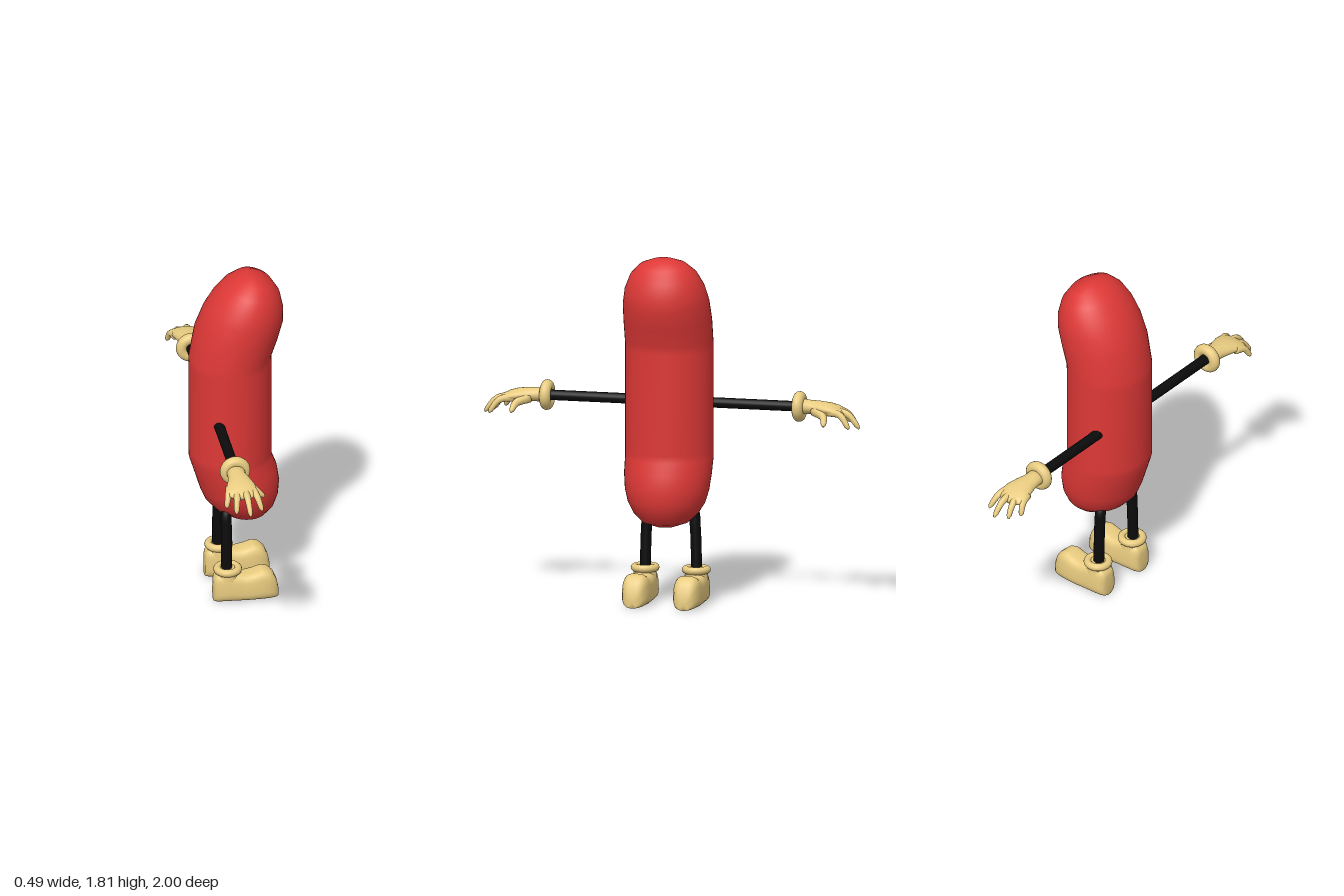
import * as THREE from 'three';

const V = (x, y, z) => new THREE.Vector3(x, y, z);
const mat = (color) => new THREE.MeshStandardMaterial({ color });
const red = mat(0xdd3836), tan = mat(0xe8cb80), black = mat(0x0b0b0b);

// Closed smooth skin over a list of rings; the end rings are closed to a point.
function loft(rings) {
  const n = rings[0].length, pos = [], index = [];
  rings.forEach((r) => r.forEach((p) => pos.push(p.x, p.y, p.z)));
  for (let i = 0; i < rings.length - 1; i++) {
    for (let j = 0; j < n; j++) {
      const a = i * n + j, b = i * n + (j + 1) % n;
      index.push(a, b, a + n, b, b + n, a + n);
    }
  }
  [0, rings.length - 1].forEach((k) => {
    const c = V(0, 0, 0);
    rings[k].forEach((p) => c.addScaledVector(p, 1 / n));
    const id = pos.length / 3;
    pos.push(c.x, c.y, c.z);
    for (let j = 0; j < n; j++) {
      const a = k * n + j, b = k * n + (j + 1) % n;
      if (k === 0) index.push(id, b, a); else index.push(id, a, b);
    }
  });
  // Signed volume tells whether the faces point outwards
  let vol = 0;
  const at = (i) => V(pos[i * 3], pos[i * 3 + 1], pos[i * 3 + 2]);
  for (let i = 0; i < index.length; i += 3) {
    vol += at(index[i]).dot(at(index[i + 1]).cross(at(index[i + 2])));
  }
  if (vol < 0) index.reverse();
  const g = new THREE.BufferGeometry();
  g.setAttribute('position', new THREE.Float32BufferAttribute(pos, 3));
  g.setIndex(index);
  g.computeVertexNormals();
  return g;
}

function ring(n, point) {
  return Array.from({ length: n }, (_, j) => {
    const a = (j / n) * Math.PI * 2;
    return point(Math.cos(a), Math.sin(a));
  });
}

function add(group, name, geometry, material) {
  const m = new THREE.Mesh(geometry, material);
  m.name = name;
  group.add(m);
  return m;
}

// Tapered round finger with a rounded tip
function finger(points, r0, r1) {
  const curve = new THREE.CatmullRomCurve3(points), steps = 10;
  const frames = curve.computeFrenetFrames(steps);
  const rings = [];
  for (let i = 0; i <= steps; i++) {
    const t = i / steps, c = curve.getPointAt(t);
    const r = (r0 + (r1 - r0) * t) * (i === steps ? 0.45 : 1);
    rings.push(ring(10, (u, v) => c.clone().addScaledVector(frames.normals[i], u * r)
      .addScaledVector(frames.binormals[i], v * r)));
  }
  return loft(rings);
}

// Each section: back x, y, front x, y, half depth
function bodyGeometry() {
  const sections = [
    [0.02, 0.42, 0.10, 0.418, 0.05], [-0.06, 0.445, 0.155, 0.44, 0.12],
    [-0.12, 0.485, 0.195, 0.49, 0.168], [-0.165, 0.535, 0.215, 0.55, 0.2],
    [-0.188, 0.59, 0.22, 0.62, 0.217], [-0.212, 0.67, 0.208, 0.70, 0.226],
    [-0.243, 0.77, 0.183, 0.765, 0.228], [-0.245, 0.81, 0.18, 0.80, 0.228],
    [-0.245, 1.31, 0.18, 1.33, 0.228], [-0.243, 1.35, 0.183, 1.37, 0.228],
    [-0.215, 1.51, 0.215, 1.46, 0.228], [-0.17, 1.62, 0.24, 1.55, 0.223],
    [-0.12, 1.70, 0.242, 1.62, 0.208], [-0.06, 1.765, 0.225, 1.70, 0.175],
    [0, 1.803, 0.185, 1.765, 0.125], [0.05, 1.818, 0.13, 1.803, 0.06],
  ];
  return loft(sections.map(([lx, ly, rx, ry, rz]) => ring(48, (u, v) =>
    V((lx + rx) / 2 + u * (rx - lx) / 2, (ly + ry) / 2 + u * (ry - ly) / 2, -0.003 + v * rz))));
}

function makeHand(s) {
  const hand = new THREE.Group();
  // Palm sections: z, x, y, half width, half thickness
  const palm = [
    [0.66, -0.12, 1.045, 0.05, 0.04], [0.73, -0.12, 1.042, 0.047, 0.036],
    [0.78, -0.117, 1.04, 0.06, 0.036], [0.83, -0.118, 1.037, 0.075, 0.032],
    [0.87, -0.12, 1.03, 0.08, 0.027], [0.90, -0.118, 1.02, 0.07, 0.021],
    [0.915, -0.116, 1.014, 0.045, 0.012],
  ];
  add(hand, 'palm', loft(palm.map(([z, x, y, rx, ry]) =>
    ring(24, (u, v) => V(x + u * rx, y + v * ry, s * z)))), tan);
  // Knuckle x, tip x, tip y, tip z
  [[-0.175, -0.206, 0.962, 0.915], [-0.14, -0.162, 0.95, 0.965],
    [-0.105, -0.093, 0.945, 0.995], [-0.07, -0.027, 0.952, 0.955]].forEach(([kx, tx, ty, tz]) => {
    add(hand, 'finger', finger([V(kx, 1.03, s * 0.83), V((kx + tx) / 2, 1.017, s * (0.4 * 0.83 + 0.6 * tz)),
      V(tx, ty, s * tz)], 0.023, 0.012), tan);
  });
  add(hand, 'thumb', finger([V(-0.09, 1.03, s * 0.76), V(-0.045, 1.005, s * 0.815),
    V(0.005, 0.965, s * 0.83)], 0.03, 0.012), tan);
  // Puffy glove cuff
  const cuff = add(hand, 'gloveCuff', new THREE.TorusGeometry(0.05, 0.029, 14, 32), tan);
  cuff.position.set(-0.12, 1.042, s * 0.67);
  const plug = add(hand, 'cuffFill', new THREE.CylinderGeometry(0.055, 0.055, 0.03, 24), tan);
  plug.rotation.x = Math.PI / 2;
  plug.position.copy(cuff.position);
  return hand;
}

function makeShoe(zc) {
  const shoe = new THREE.Group();
  // Shoe sections: x, top height, half width
  const sections = [
    [-0.143, 0.12, 0.03], [-0.138, 0.145, 0.05], [-0.12, 0.165, 0.062], [-0.07, 0.17, 0.068],
    [-0.02, 0.16, 0.07], [0.02, 0.151, 0.073], [0.06, 0.158, 0.075], [0.105, 0.173, 0.075],
    [0.14, 0.166, 0.071], [0.168, 0.14, 0.06], [0.185, 0.1, 0.045], [0.193, 0.06, 0.025],
  ];
  add(shoe, 'shoeBody', loft(sections.map(([x, h, w]) => ring(32, (u, v) => {
    const p = (t, e) => Math.sign(t) * Math.abs(t) ** e;
    const y = 0.5 + 0.5 * p(v, 0.6);
    return V(x, 0.006 + y * (h - 0.006), zc + p(u, 0.6) * w * (1 - 0.14 * y));
  }))), tan);
  // Ankle opening with a rolled rim
  const ankle = add(shoe, 'ankle', new THREE.CylinderGeometry(0.055, 0.062, 0.06, 28), tan);
  ankle.position.set(-0.068, 0.158, zc);
  const rim = add(shoe, 'shoeRim', new THREE.TorusGeometry(0.054, 0.02, 12, 32), tan);
  rim.rotation.x = Math.PI / 2;
  rim.position.set(-0.068, 0.178, zc);
  return shoe;
}

export function createModel() {
  const model = new THREE.Group();
  add(model, 'body', bodyGeometry(), red);

  [['left', -1], ['right', 1]].forEach(([, s]) => {
    const side = s > 0 ? 'front' : 'back';
    // Straight arm
    const arm = add(model, side + 'Arm', new THREE.CylinderGeometry(0.027, 0.027, 0.57, 16), black);
    arm.rotation.x = Math.PI / 2;
    arm.position.set(-0.12, 1.042, s * 0.385);
    const hand = makeHand(s);
    hand.name = side + 'Hand';
    model.add(hand);
    // Leg bending into the underside of the body
    const path = new THREE.CatmullRomCurve3([V(-0.04, 0.53, s * 0.07), V(-0.07, 0.49, s * 0.118),
      V(-0.073, 0.4, s * 0.129), V(-0.073, 0.16, s * 0.137)]);
    add(model, side + 'Leg', new THREE.TubeGeometry(path, 24, 0.028, 16), black);
    const shoe = makeShoe(s * 0.136);
    shoe.name = side + 'Shoe';
    model.add(shoe);
  });

  // Rest the soles on the ground
  model.children.forEach((c) => { c.position.y -= 0.006; });
  return model;
}
